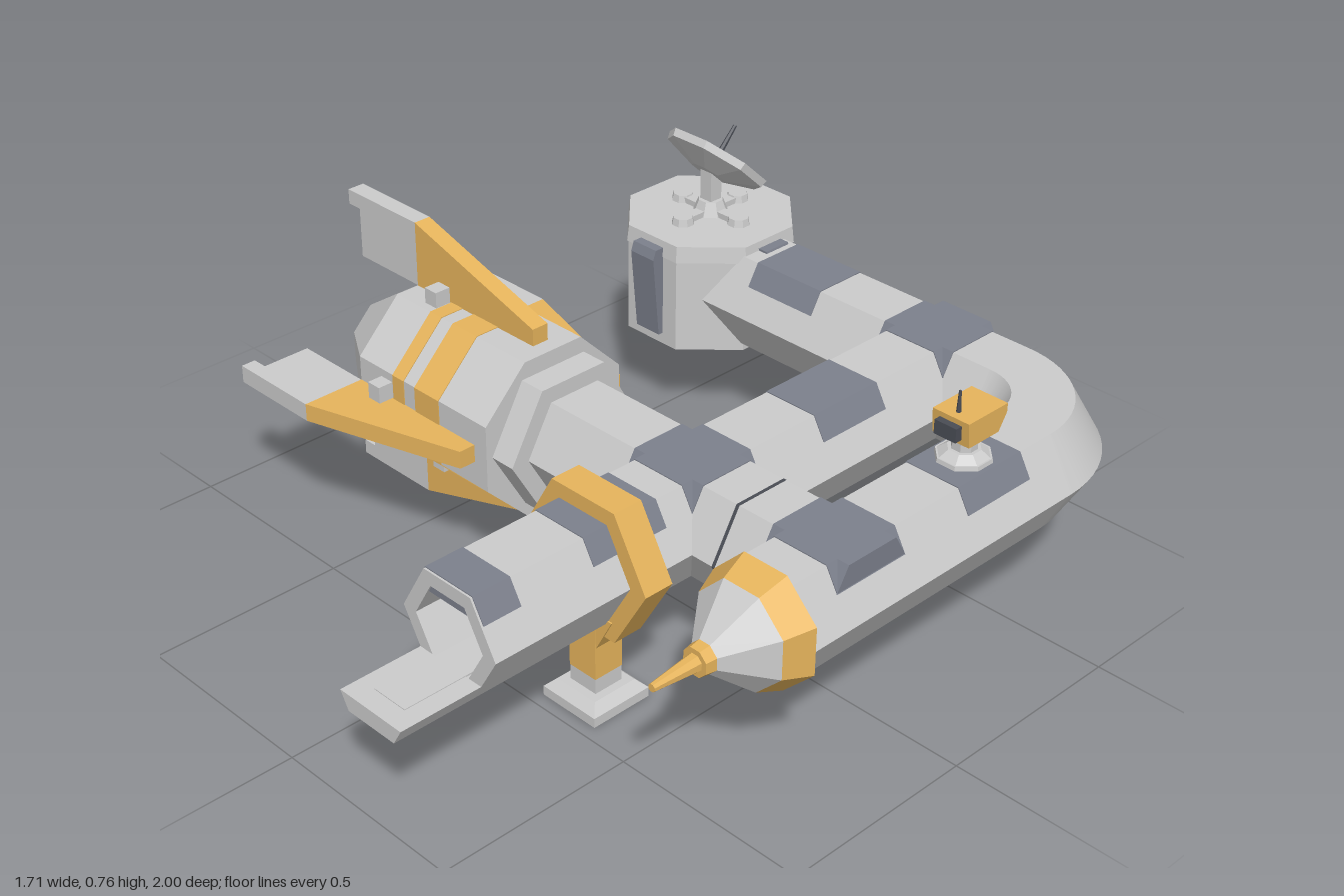
import * as THREE from 'three';
import { toCreasedNormals } from 'three/addons/utils/BufferGeometryUtils.js';

const mat = (color, flat = true) => new THREE.MeshStandardMaterial({ color, flatShading: flat });
const grey = mat(0xcccccc), smoothGrey = mat(0xcccccc, false);
const orange = mat(0xe6b45c), dark = mat(0x7c808c), black = mat(0x4a4d55);

const Y = 0.375;               // height of the corridor axes
const R = 0.144, AP = 0.125;   // corridor hexagon radius and half height
const XA = 0.292, XB = 0.706;  // the two corridors along z
const ZC = 0.092, ZD = -0.738; // the two corridors along x
const OCT = 1 / Math.cos(Math.PI / 8);

function add(parent, name, geo, material, x = 0, y = 0, z = 0) {
  const m = new THREE.Mesh(geo, material);
  m.name = name;
  m.position.set(x, y, z);
  parent.add(m);
  return m;
}
const box = (w, h, d) => new THREE.BoxGeometry(w, h, d);

// Prism running from a to b along an axis; octagons are given by half width, hexagons by radius
function prism(axis, a, b, ra, rb, sides) {
  const k = sides === 8 ? OCT : 1;
  let start = sides === 8 ? Math.PI / 8 : 0;
  if (axis === 'z' && sides === 6) start = Math.PI / 2;
  const g = new THREE.CylinderGeometry(rb * k, ra * k, b - a, sides, 1, false, start);
  g.translate(0, (a + b) / 2, 0);
  if (axis === 'x') g.rotateZ(-Math.PI / 2);
  if (axis === 'z') g.rotateX(Math.PI / 2);
  return g;
}

function extrude(points, depth, holes = []) {
  const v = (p) => new THREE.Vector2(p[0], p[1]);
  const s = new THREE.Shape(points.map(v));
  holes.forEach((h) => s.holes.push(new THREE.Path(h.map(v))));
  return new THREE.ExtrudeGeometry(s, { depth, bevelEnabled: false });
}
const hexagon = (r) => Array.from({ length: 6 }, (_, i) =>
  [r * Math.cos(i * Math.PI / 3), r * Math.sin(i * Math.PI / 3)]);

// Dark plating wrapped over the top three faces of a corridor
function plate(g, axis, x, z, len = 0.21) {
  const geo = extrude([[-0.106, 0.07], [0.106, 0.07], [0.073, 0.127], [-0.073, 0.127]], len);
  geo.translate(0, 0, -len / 2);
  if (axis === 'x') geo.rotateY(Math.PI / 2);
  add(g, 'roofPlate', geo, dark, x, Y, z);
}

function corridors(g) {
  add(g, 'mainCorridor', prism('z', ZD, 0.5, R, R, 6), grey, XA, Y, 0);
  add(g, 'dockingTube', extrude(hexagon(R), 0.29, [hexagon(0.105)]), grey, XA, Y, 0.5);
  add(g, 'sideCorridor', prism('z', -0.538, 0.3, R, R, 6), grey, XB, Y, 0);
  add(g, 'crossCorridor', prism('x', -0.1, XB, R, R, 6), grey, 0, Y, ZC);
  add(g, 'crossSeam', prism('x', 0.495, 0.503, R + 0.001, R + 0.001, 6), black, 0, Y, ZC);
  add(g, 'rearCorridor', prism('x', -0.42, 0.506, R, R, 6), grey, 0, Y, ZD);
  // quarter bend between rear and side corridors
  const pts = [...hexagon(R), [R, 0]].map(([a, b]) => new THREE.Vector2(0.2 + a, b));
  const bend = new THREE.LatheGeometry(pts, 16, Math.PI / 2, Math.PI / 2);
  add(g, 'cornerBend', toCreasedNormals(bend, 0.6), smoothGrey, 0.506, Y, -0.538);

  plate(g, 'z', XA, -0.325);
  plate(g, 'z', XB, -0.325);
  plate(g, 'z', XA, 0.38);
  plate(g, 'z', XA, 0.735, 0.1);
  plate(g, 'x', -0.125, ZD);
  for (const [x, z] of [[XA, ZC], [XB, ZC], [XA, ZD]]) {
    plate(g, 'z', x, z);
    plate(g, 'x', x, z);
  }
}

function dock(g) {
  // landing tongue: lower slice of the tube carried forward, with a raised floor strip
  add(g, 'dockTongue', extrude([[-0.072, -AP], [0.072, -AP], [0.096, -0.083], [-0.096, -0.083]], 0.21), grey, XA, Y, 0.79);
  add(g, 'dockFloor', box(0.095, 0.004, 0.42), smoothGrey, XA, 0.292, 0.74);
  // control panel inside the tube
  add(g, 'dockPanel', extrude([[-0.08, 0.02], [0.08, 0.02], [0.055, 0.085], [-0.055, 0.085]], 0.06), dark, XA, Y, 0.5);
  for (const s of [-1, 1])
    add(g, 'dockLamp', new THREE.TorusGeometry(0.018, 0.005, 6, 12), grey, XA + s * 0.03, 0.434, 0.563);
  // collar and landing leg
  add(g, 'dockCollar', prism('z', 0.34, 0.418, 0.19, 0.19, 6), orange, XA, Y, 0);
  add(g, 'legBracket', extrude([[-0.042, -0.25], [0.042, -0.25], [0.09, -0.16], [-0.09, -0.16]], 0.076), orange, XA, 0.42, 0.346);
  add(g, 'leg', box(0.082, 0.16, 0.08), orange, XA, 0.165, 0.384);
  add(g, 'lowerLeg', box(0.08, 0.05, 0.078), grey, XA, 0.062, 0.384);
  const top = new THREE.CylinderGeometry(0.06 * Math.SQRT2, 0.082 * Math.SQRT2, 0.022, 4, 1, false, Math.PI / 4);
  add(g, 'footSlope', top, grey, XA, 0.035, 0.384);
  add(g, 'footPad', box(0.164, 0.024, 0.164), grey, XA, 0.012, 0.384);
}

function engine(g) {
  const e = new THREE.Group();
  e.name = 'engine';
  e.position.set(0, Y, ZC + 0.003);
  g.add(e);
  add(e, 'engineBody', prism('x', -0.605, -0.153, 0.207, 0.207, 8), grey);
  add(e, 'engineTail', prism('x', -0.775, -0.605, 0.094, 0.207, 8), grey);
  add(e, 'engineCollar', prism('x', -0.155, -0.085, 0.19, 0.19, 6), grey);
  for (const [a, b] of [[-0.482, -0.442], [-0.402, -0.317]])
    add(e, 'engineBand', prism('x', a, b, 0.209, 0.209, 8), orange);
  const root = [[-0.605, 0.2], [-0.195, 0.2], [-0.195, 0.25], [-0.605, 0.373]];
  const tip = [[-0.605, 0.208], [-0.605, 0.373], [-0.855, 0.373], [-0.855, 0.335], [-0.815, 0.335], [-0.815, 0.208]];
  for (let i = 0; i < 4; i++) {
    const fin = new THREE.Group();
    fin.name = 'fin';
    fin.rotation.x = i * Math.PI / 2;
    add(fin, 'finRoot', extrude(root, 0.045), orange, 0, 0, -0.0225);
    add(fin, 'finTip', extrude(tip, 0.045), grey, 0, 0, -0.0225);
    for (const s of [-1, 1])
      add(fin, 'finClamp', box(0.04, 0.06, 0.042), grey, -0.506, 0.217, s * 0.044);
    e.add(fin);
  }
}

function tower(g) {
  const t = new THREE.Group();
  t.name = 'tower';
  t.position.set(-0.487, 0, -0.757);
  g.add(t);
  add(t, 'towerBody', prism('y', 0.23, 0.48, 0.21, 0.21, 8), grey);
  add(t, 'towerRoof', prism('y', 0.48, 0.523, 0.213, 0.208, 8), grey);
  for (let i = 0; i < 4; i++) {
    const side = new THREE.Group();
    side.name = 'towerSide';
    side.rotation.y = i * Math.PI / 2;
    const panel = extrude([[0.19, 0.26], [0.224, 0.26], [0.245, 0.48], [0.236, 0.505], [0.19, 0.505]], 0.08);
    add(side, 'sidePanel', panel, dark, 0, 0, -0.04);
    add(side, 'mastArm', box(0.09, 0.016, 0.03), grey, 0.05, 0.53, 0);
    add(side, 'mastArmPad', prism('y', 0.522, 0.542, 0.028, 0.024, 8), grey, 0.1, 0, 0);
    t.add(side);
  }
  add(t, 'mastBase', prism('y', 0.52, 0.56, 0.045, 0.03, 8), grey);
  add(t, 'mast', box(0.038, 0.11, 0.038), grey, 0, 0.6, 0);

  const d = new THREE.Group();
  d.name = 'dish';
  d.position.set(0, 0.655, -0.01);
  d.rotation.x = -0.75;
  const profile = [[0, -0.03], [0.05, -0.03], [0.14, 0], [0.145, 0.02], [0.122, 0.02], [0.1, 0], [0, 0]];
  add(d, 'dishBowl', new THREE.LatheGeometry(profile.map((p) => new THREE.Vector2(...p)), 8, Math.PI / 8), grey);
  add(d, 'dishRing', new THREE.RingGeometry(0.045, 0.072, 16).rotateX(-Math.PI / 2), orange, 0, 0.003, 0);
  add(d, 'dishFeedBase', prism('y', 0, 0.03, 0.018, 0.01, 8), black);
  add(d, 'dishFeed', prism('y', 0.02, 0.11, 0.008, 0.005, 6), black);
  t.add(d);
}

function nose(g) {
  const parts = [
    ['noseRim', 0.3, 0.37, 0.144, 0.118, orange],
    ['noseCone', 0.37, 0.475, 0.118, 0.034, grey],
    ['noseCollar', 0.472, 0.5, 0.036, 0.032, orange],
    ['noseProbe', 0.5, 0.62, 0.02, 0.009, orange],
  ];
  for (const [name, a, b, ra, rb, m] of parts)
    add(g, name, prism('z', a, b, ra, rb, 8), m, XB, Y, 0);
}

function turret(g) {
  const t = new THREE.Group();
  t.name = 'turret';
  t.position.set(XB, 0.5, -0.325);
  g.add(t);
  add(t, 'turretBase', prism('y', 0, 0.012, 0.062, 0.06, 8), grey);
  add(t, 'turretStep', prism('y', 0.012, 0.028, 0.056, 0.036, 8), grey);
  add(t, 'turretPost', prism('y', 0.02, 0.07, 0.028, 0.028, 8), grey);
  // head profile in side view, extruded across
  const head = extrude([[-0.05, 0.065], [0.05, 0.065], [0.056, 0.127], [-0.075, 0.127], [-0.075, 0.105]], 0.1);
  head.translate(0, 0, -0.05).rotateY(-Math.PI / 2);
  add(t, 'turretHead', head, orange);
  add(t, 'turretLens', box(0.06, 0.035, 0.025), black, 0, 0.096, 0.06);
  add(t, 'turretAerial', prism('y', 0.12, 0.18, 0.006, 0.003, 6), black, 0, 0, 0.03);
}

export function createModel() {
  const g = new THREE.Group();
  g.name = 'spaceStation';
  for (const build of [corridors, dock, engine, tower, nose, turret]) build(g);
  return g;
}
